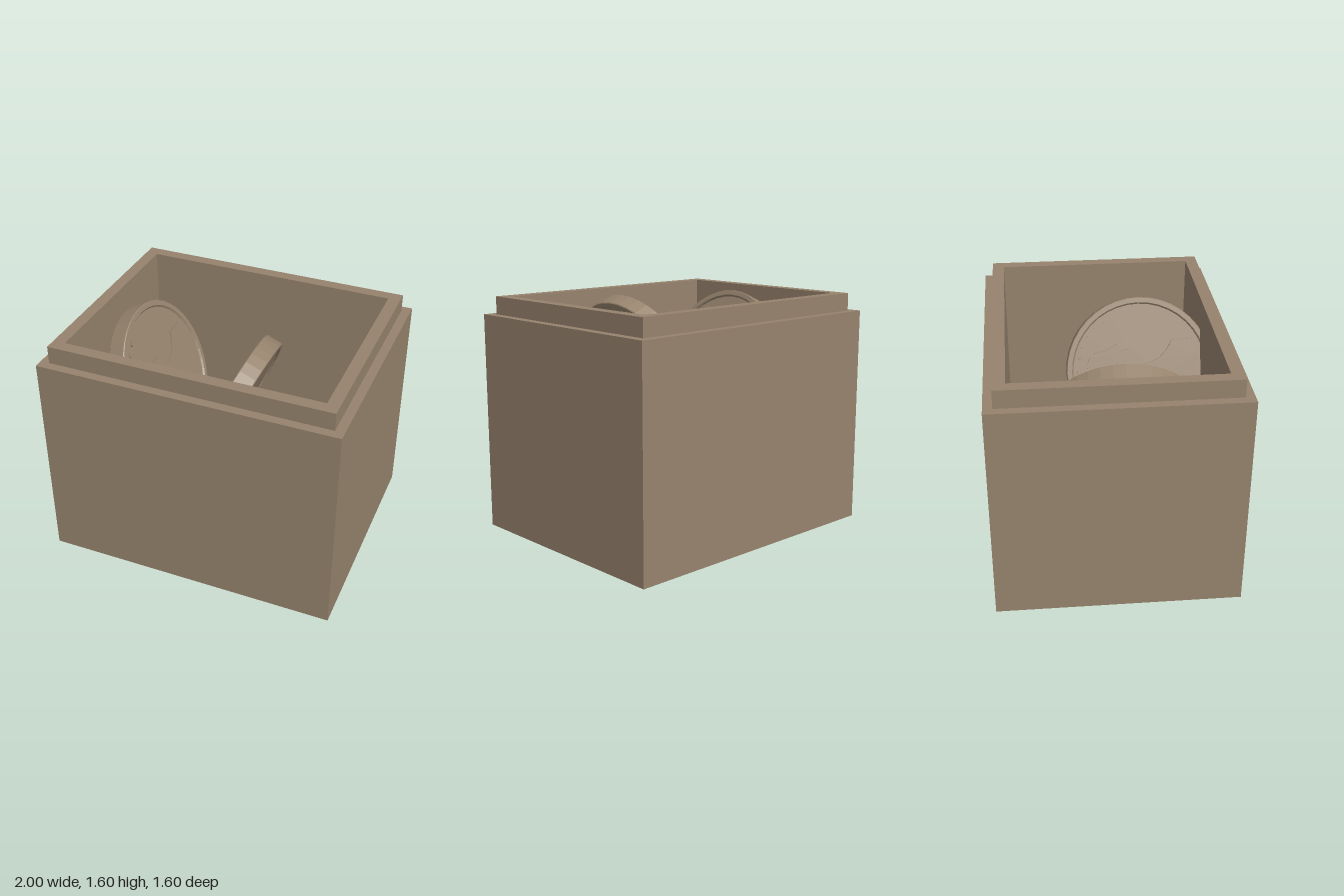
import * as THREE from 'three';

const material = new THREE.MeshStandardMaterial({ color: 0x96836d, flatShading: true });

function add(parent, name, geometry, y = 0) {
  const mesh = new THREE.Mesh(geometry, material);
  mesh.name = name;
  mesh.position.y = y;
  parent.add(mesh);
  return mesh;
}

function rectangle(path, hx, hz) {
  path.moveTo(-hx, -hz);
  path.lineTo(hx, -hz);
  path.lineTo(hx, hz);
  path.lineTo(-hx, hz);
  path.closePath();
  return path;
}

// Extrude a plan shape upwards; shape y becomes -z
function rise(shape, depth) {
  return new THREE.ExtrudeGeometry(shape, { depth, bevelEnabled: false, curveSegments: 24 })
    .rotateX(-Math.PI / 2);
}

// Rectangular tube around the box's cavity
function frame(hx, hz, height) {
  const shape = rectangle(new THREE.Shape(), hx, hz);
  shape.holes.push(rectangle(new THREE.Path(), 0.86, 0.66));
  return rise(shape, height);
}

// Generic bust in profile, with its head towards +y
function bustShape() {
  const s = new THREE.Shape();
  s.moveTo(-0.30, -0.34);
  s.quadraticCurveTo(-0.26, -0.12, -0.10, -0.06);
  s.quadraticCurveTo(-0.06, 0.02, -0.12, 0.10);
  s.quadraticCurveTo(-0.17, 0.33, 0.02, 0.36);
  s.quadraticCurveTo(0.14, 0.36, 0.14, 0.24);
  s.lineTo(0.19, 0.15);
  s.lineTo(0.14, 0.13);
  s.lineTo(0.15, 0.05);
  s.quadraticCurveTo(0.12, -0.03, 0.05, -0.03);
  s.quadraticCurveTo(0.06, -0.16, 0.20, -0.22);
  s.lineTo(0.21, -0.36);
  s.quadraticCurveTo(0, -0.47, -0.30, -0.34);
  return s;
}

// Coin with its upper face at y = 0, raised rims and a shallow relief
function makeCoin(name) {
  const coin = new THREE.Group();
  coin.name = name;
  const profile = [
    [0, -0.108], [0.455, -0.108], [0.465, -0.12], [0.495, -0.12], [0.5, -0.115],
    [0.5, -0.005], [0.495, 0], [0.465, 0], [0.455, -0.012], [0, -0.012],
  ].map(([r, y]) => new THREE.Vector2(r, y));
  add(coin, 'coinBody', new THREE.LatheGeometry(profile, 40));
  add(coin, 'coinPortrait', rise(bustShape(), 0.012), -0.013);
  // Beads along the upper arc of the face
  for (let i = 0; i < 11; i++) {
    const a = -1 + i * 0.2;
    const bead = add(coin, 'coinBead', new THREE.CylinderGeometry(0.018, 0.018, 0.012, 6), -0.008);
    bead.position.x = Math.sin(a) * 0.415;
    bead.position.z = -Math.cos(a) * 0.415;
  }
  return coin;
}

export function createModel() {
  const model = new THREE.Group();
  model.name = 'coinBox';

  // Box: solid base, walls and stepped lip
  const floor = 0.5;
  add(model, 'base', new THREE.BoxGeometry(2, floor, 1.6), floor / 2);
  add(model, 'walls', frame(1, 0.8, 1.48 - floor), floor);
  add(model, 'lip', frame(0.94, 0.74, 0.12), 1.48);

  // Two merged round platforms on the floor, as one outline
  const cx = 0.115, cz = 0.245, r = 0.52, a = Math.asin(cz / r);
  const plan = new THREE.Shape();
  plan.absarc(cx, cz, r, -a, Math.PI + a, false);
  plan.absarc(cx, -cz, r, Math.PI - a, 2 * Math.PI + a, false);
  add(model, 'roundPlatforms', rise(plan, 0.11), floor);

  // Two coins leaning outwards
  const leftCoin = makeCoin('leftCoin');
  leftCoin.position.set(0.065, 1.14, 0.24);
  leftCoin.rotation.set(0, 0, 1.17, 'ZYX');
  const rightCoin = makeCoin('rightCoin');
  rightCoin.position.set(-0.447, 1.12, 0.06);
  rightCoin.rotation.set(0, Math.PI, -1.17, 'ZYX');
  model.add(leftCoin, rightCoin);

  return model;
}
